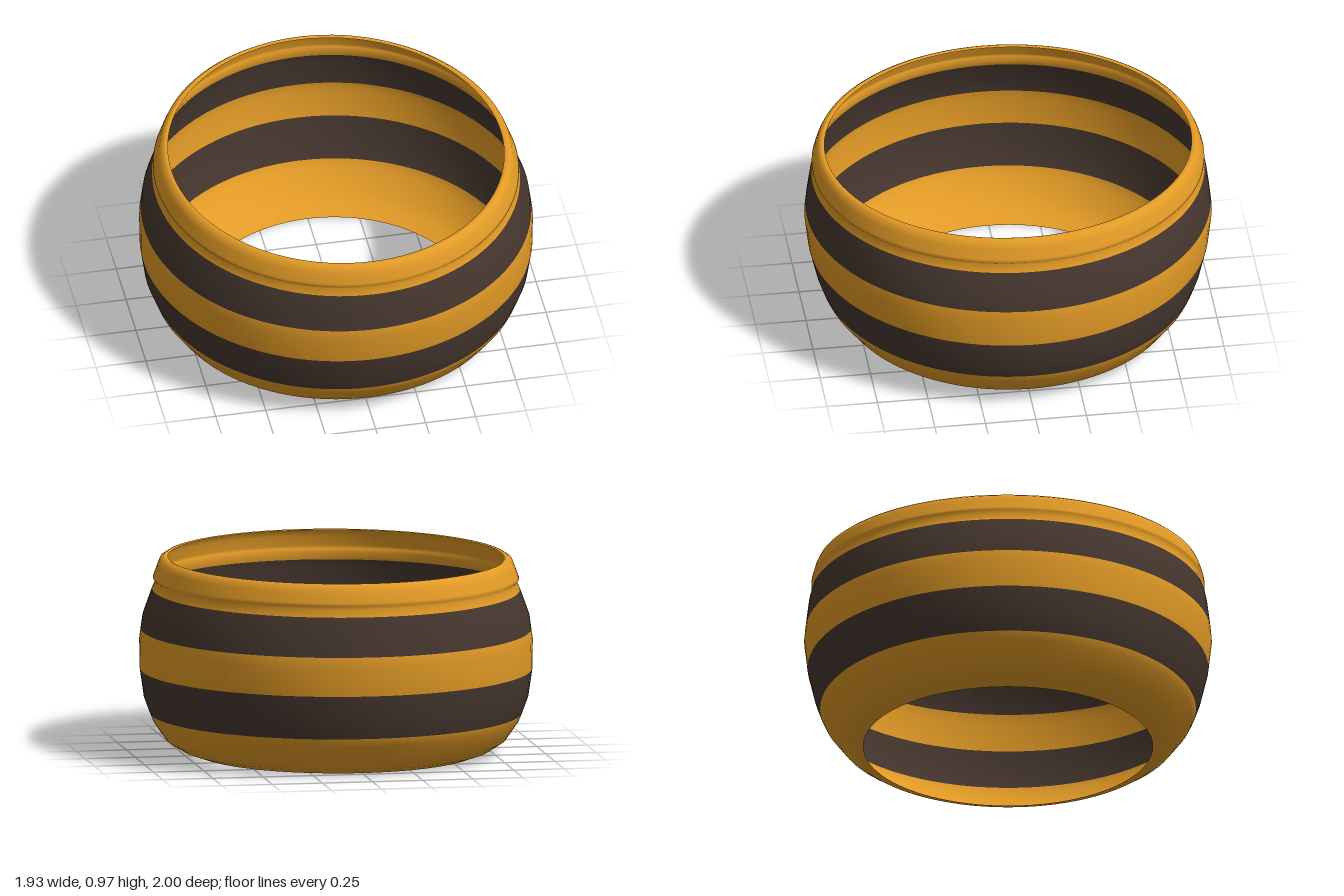
import * as THREE from 'three';

const SIDES = 96;

// Rings from bottom to top: height, half width (x), half depth (z)
const rings = [
  [0, 0.69, 0.71], [0.025, 0.763, 0.777], [0.07, 0.835, 0.835], [0.16, 0.897, 0.903],
  [0.2, 0.913, 0.922], [0.28, 0.943, 0.95], [0.42, 0.963, 0.983], [0.565, 0.964, 1],
  [0.615, 0.957, 0.995], [0.68, 0.948, 0.988], [0.765, 0.917, 0.977], [0.81, 0.9, 0.966],
  [0.848, 0.882, 0.953], [0.865, 0.896, 0.964], [0.88, 0.89, 0.964], [0.93, 0.872, 0.95],
  [0.955, 0.862, 0.939], [0.968, 0.842, 0.925], [0.97, 0.832, 0.915], [0.966, 0.822, 0.902],
];

// Ring numbers where one colour band ends and the next begins
const bandEdges = [0, 4, 6, 8, 11, rings.length - 1];

// Open oval shell, swept ring by ring, with one geometry group per band
function shellGeometry() {
  const positions = [], indices = [];
  for (const [y, rx, rz] of rings) {
    for (let i = 0; i < SIDES; i++) {
      const a = (i / SIDES) * Math.PI * 2;
      positions.push(Math.sin(a) * rx, y, Math.cos(a) * rz);
    }
  }
  for (let r = 0; r < rings.length - 1; r++) {
    for (let i = 0; i < SIDES; i++) {
      const a = r * SIDES + i, b = r * SIDES + ((i + 1) % SIDES);
      indices.push(a, b, b + SIDES, a, b + SIDES, a + SIDES);
    }
  }
  const geometry = new THREE.BufferGeometry();
  geometry.setAttribute('position', new THREE.Float32BufferAttribute(positions, 3));
  geometry.setIndex(indices);
  geometry.computeVertexNormals();
  for (let k = 0; k < bandEdges.length - 1; k++) {
    const start = bandEdges[k] * SIDES * 6;
    geometry.addGroup(start, bandEdges[k + 1] * SIDES * 6 - start, k % 2);
  }
  return geometry;
}

export function createModel() {
  const amber = new THREE.MeshStandardMaterial({ color: 0xe39b26, side: THREE.DoubleSide });
  amber.name = 'amber';
  const darkBrown = new THREE.MeshStandardMaterial({ color: 0x46372f, side: THREE.DoubleSide });
  darkBrown.name = 'darkBrown';

  const group = new THREE.Group();
  group.name = 'stripedRing';
  const shell = new THREE.Mesh(shellGeometry(), [amber, darkBrown]);
  shell.name = 'stripedShell';
  group.add(shell);
  return group;
}
